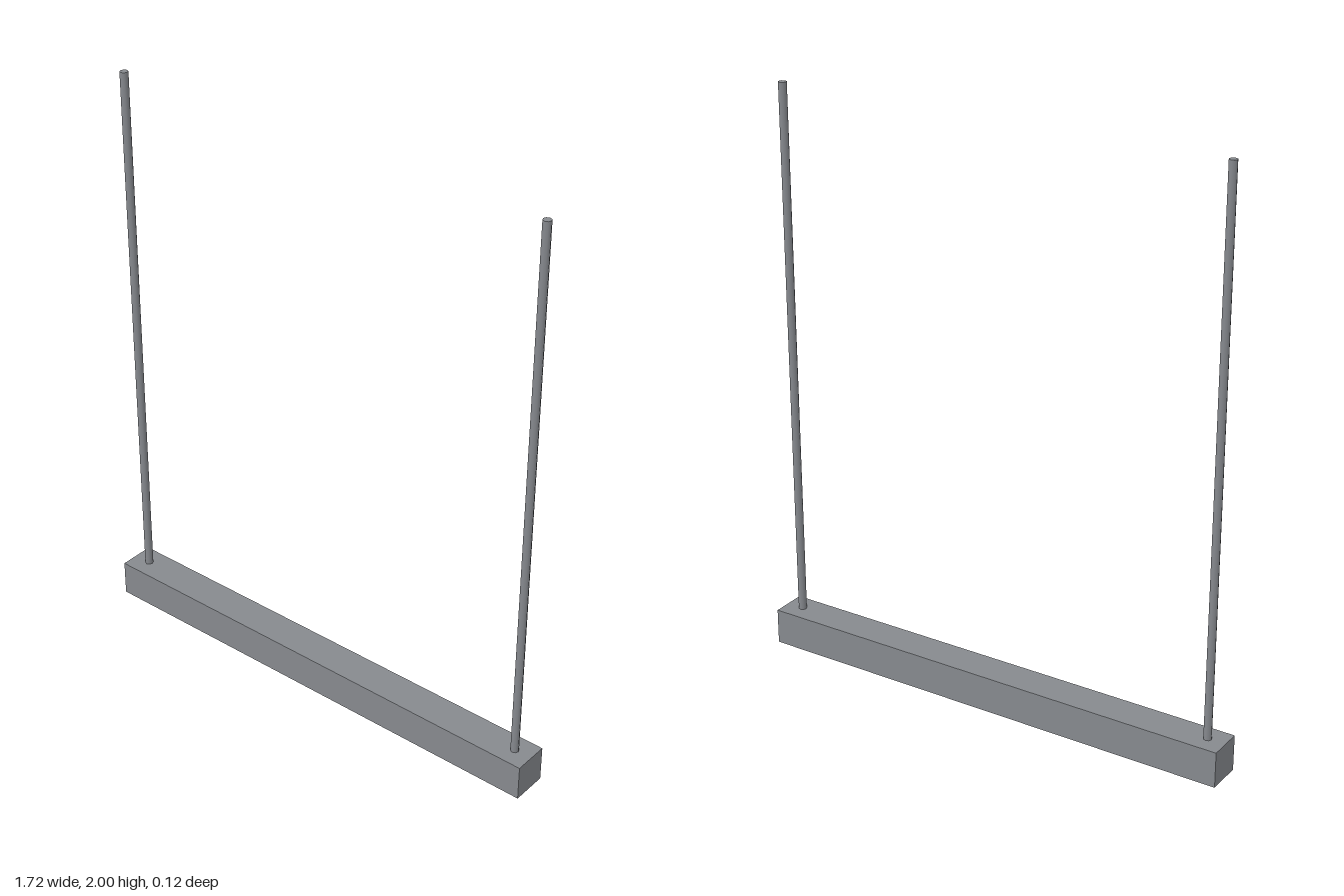
import * as THREE from 'three';

export function createModel() {
  const model = new THREE.Group();
  const grey = new THREE.MeshStandardMaterial({ color: 0x86898e });
  grey.name = 'metal grey';

  // Horizontal bar
  const barHeight = 0.125;
  const bar = new THREE.Mesh(new THREE.BoxGeometry(1.72, barHeight, 0.125), grey);
  bar.name = 'bar';
  bar.position.y = barHeight / 2;
  model.add(bar);

  // Two upright hanging rods near the ends
  const rodLength = 2 - barHeight;
  const rodGeometry = new THREE.CylinderGeometry(0.014, 0.014, rodLength, 8);
  for (const [name, side] of [['leftRod', 1], ['rightRod', -1]]) {
    const rod = new THREE.Mesh(rodGeometry, grey);
    rod.name = name;
    rod.position.set(side * 0.797, barHeight + rodLength / 2, 0);
    model.add(rod);
  }

  return model;
}
